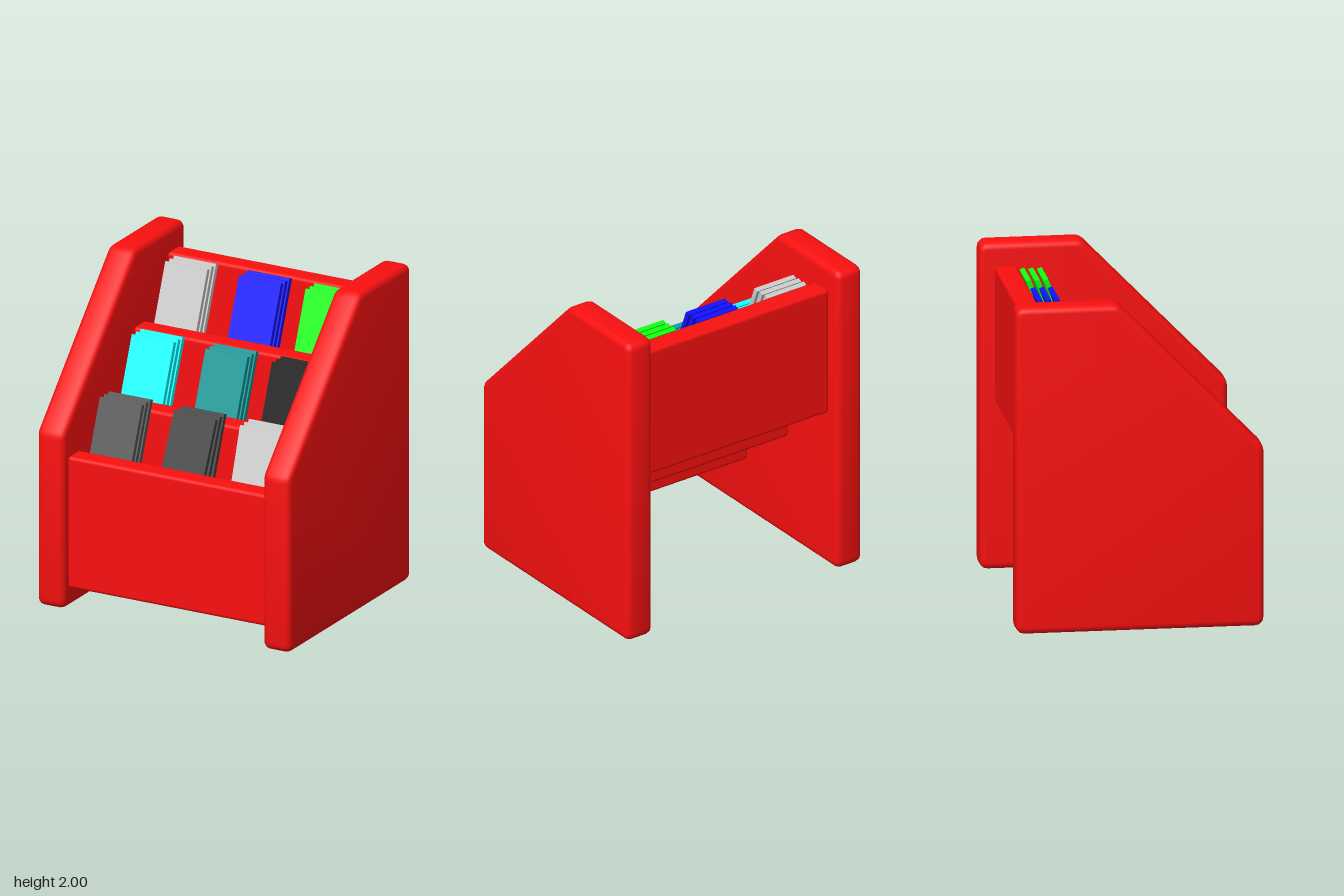
import * as THREE from 'three';
import { toCreasedNormals } from 'three/addons/utils/BufferGeometryUtils.js';
import { RoundedBoxGeometry } from 'three/addons/geometries/RoundedBoxGeometry.js';

const mat = (color) => new THREE.MeshStandardMaterial({ color });

function addMesh(parent, name, geometry, material, x, y, z) {
  const mesh = new THREE.Mesh(geometry, material);
  mesh.name = name;
  mesh.position.set(x, y, z);
  parent.add(mesh);
  return mesh;
}

// Polygon outline with every corner softened by a small curve
function softShape(corners, r) {
  const pts = corners.map(([x, y]) => new THREE.Vector2(x, y));
  const shape = new THREE.Shape();
  pts.forEach((p, i) => {
    const prev = pts[(i + pts.length - 1) % pts.length];
    const next = pts[(i + 1) % pts.length];
    const a = p.clone().add(prev.clone().sub(p).setLength(r));
    const b = p.clone().add(next.clone().sub(p).setLength(r));
    if (i === 0) shape.moveTo(a.x, a.y);
    else shape.lineTo(a.x, a.y);
    shape.quadraticCurveTo(p.x, p.y, b.x, b.y);
  });
  shape.closePath();
  return shape;
}

// Side panel: sloped-front profile with rounded edges, lying in the z-y plane
function sidePanelGeometry() {
  const bevel = 0.035, thickness = 0.18;
  const corners = [[0.705, 0.04], [0.705, 1.09], [-0.145, 1.965], [-0.705, 1.965], [-0.705, 0.04]].reverse();
  const geometry = new THREE.ExtrudeGeometry(softShape(corners, 0.02), {
    depth: thickness - 2 * bevel, bevelEnabled: true, bevelSize: bevel,
    bevelThickness: bevel, bevelSegments: 3, curveSegments: 3,
  });
  geometry.translate(0, 0, -(thickness - 2 * bevel) / 2);
  geometry.rotateY(-Math.PI / 2);
  return toCreasedNormals(geometry, 0.6);
}

export function createModel() {
  const model = new THREE.Group();
  model.name = 'bookRack';
  const red = mat(0xfa1010);

  const panel = sidePanelGeometry();
  addMesh(model, 'rightSidePanel', panel, red, -0.767, 0, 0);
  addMesh(model, 'leftSidePanel', panel, red, 0.765, 0, 0);

  // Stepped boards, from front to back: [centre z, top y]
  const boards = [[0.62, 0.96], [0.23, 1.19], [-0.175, 1.52], [-0.585, 1.86]];
  const boardHeight = 0.83;
  const board = new RoundedBoxGeometry(1.36, boardHeight, 0.135, 2, 0.022);
  boards.forEach(([z, top]) => addMesh(model, 'crossBoard', board, red, 0, top - boardHeight / 2, z));

  // Shelves closing the pockets between the boards
  [0.425, 0.015, -0.38].forEach((z, i) => {
    addMesh(model, 'pocketShelf', new THREE.BoxGeometry(1.34, 0.04, i === 1 ? 0.25 : 0.29),
      red, -0.005, boards[i][1] - 0.17, z);
  });

  // Leaning books: [z of the front book's top edge, top y, colours, sideways lean]
  const rows = [
    [0.41, 1.26, [0x595959, 0x464646, 0xcccccc], [0, -0.03, 0.03]],
    [0.025, 1.53, [0x10ffff, 0x109999, 0x111111], [0, 0, 0]],
    [-0.38, 1.86, [0xcccccc, 0x1010ff, 0x10ff10], [0, 0, 0]],
  ];
  const columns = [-0.47, 0.03, 0.482];
  const bookHeight = 0.45, bookDepth = 0.03, tilt = 0.37;
  const book = new THREE.BoxGeometry(0.286, bookHeight, bookDepth);
  book.translate(0, -bookHeight / 2, -bookDepth / 2);

  rows.forEach(([z, top, colors, leans]) => {
    columns.forEach((x, c) => {
      const stack = new THREE.Group();
      stack.name = 'bookStack';
      model.add(stack);
      const material = mat(colors[c]);
      for (let i = 0; i < 3; i++) {
        const mesh = addMesh(stack, 'book', book, material, x, top, z - i * 0.052);
        mesh.rotation.set(-tilt, 0, leans[c] * (1 - i / 2));
      }
    });
  });

  return model;
}
